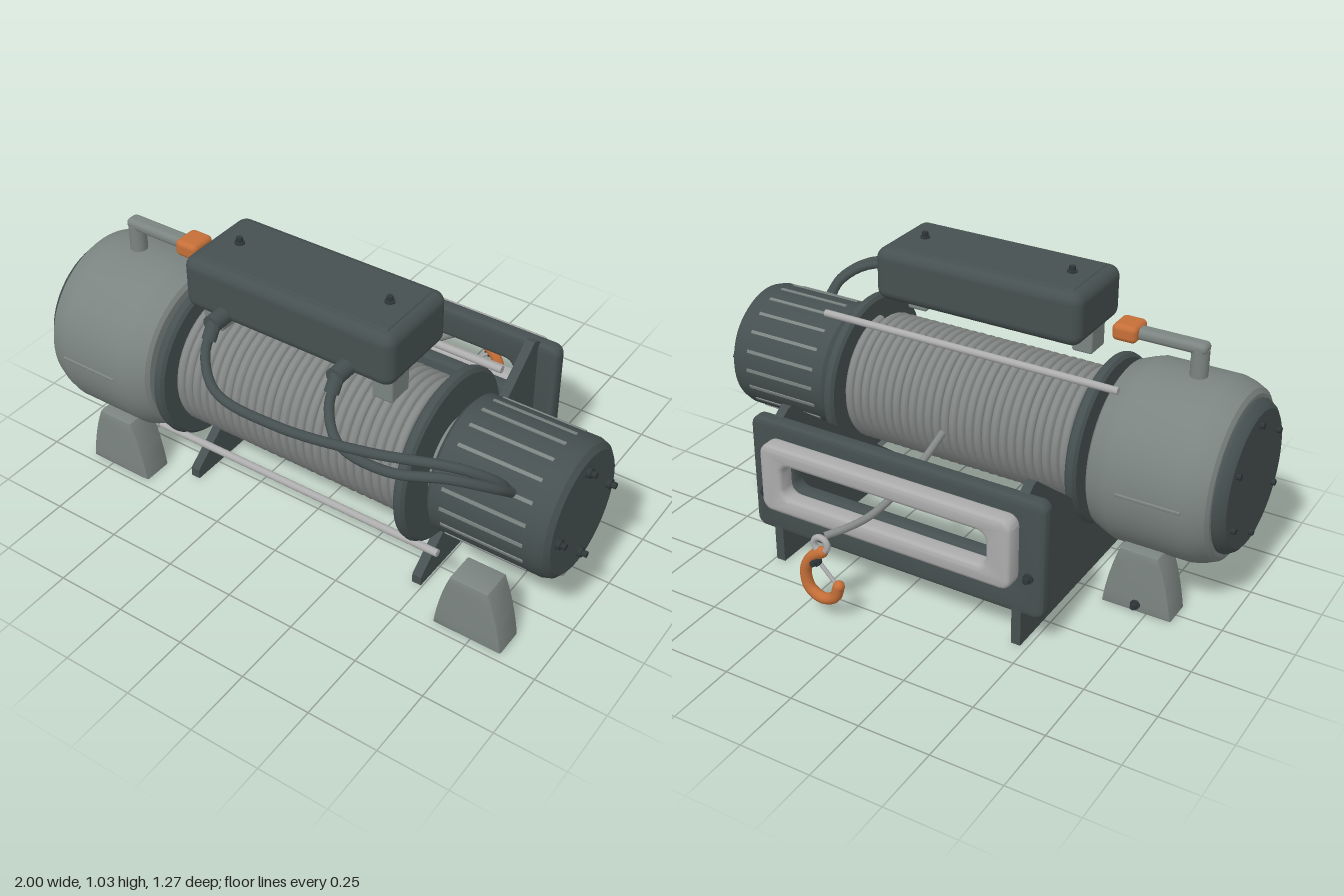
import * as THREE from 'three';
import { toCreasedNormals } from 'three/addons/utils/BufferGeometryUtils.js';
import { RoundedBoxGeometry } from 'three/addons/geometries/RoundedBoxGeometry.js';

const AXIS_Y = 0.463, AXIS_Z = 0.21; // drum axis, parallel to x

const material = (name, color) => {
  const m = new THREE.MeshStandardMaterial({ color });
  m.name = name;
  return m;
};
const V = (p) => new THREE.Vector3(...p);

export function createModel() {
  const dark = material('dark casing', 0x465050);
  const grey = material('grey casing', 0x7b8481);
  const steel = material('light steel', 0xabacab);
  const cable = material('wire rope', 0x858987);
  const orange = material('orange', 0xc56f38);
  const black = material('bolt', 0x30383a);

  const model = new THREE.Group();
  model.name = 'winch';

  const add = (name, geo, mat, x = 0, y = 0, z = 0) => {
    const mesh = new THREE.Mesh(geo, mat);
    mesh.name = name;
    mesh.position.set(x, y, z);
    model.add(mesh);
    return mesh;
  };
  // Turned part along the drum axis; profile is [x, radius] from low to high x
  const turned = (name, profile, mat) => {
    const geo = new THREE.LatheGeometry(profile.map(([x, r]) => new THREE.Vector2(r, x)), 56);
    geo.rotateZ(-Math.PI / 2);
    return add(name, toCreasedNormals(geo, 0.5), mat, 0, AXIS_Y, AXIS_Z);
  };
  const tube = (name, points, r, mat, steps = 48) =>
    add(name, new THREE.TubeGeometry(new THREE.CatmullRomCurve3(points.map(V)), steps, r, 10), mat);
  const rod = (name, a, b, r, mat, sides = 16) => {
    const from = V(a), dir = V(b).sub(from);
    const mesh = add(name, new THREE.CylinderGeometry(r, r, dir.length(), sides), mat);
    mesh.position.copy(from).addScaledVector(dir, 0.5);
    mesh.quaternion.setFromUnitVectors(new THREE.Vector3(0, 1, 0), dir.normalize());
    return mesh;
  };
  const box = (name, x0, x1, y0, y1, z0, z1, r, mat) =>
    add(name, new RoundedBoxGeometry(x1 - x0, y1 - y0, z1 - z0, 4, r), mat,
      (x0 + x1) / 2, (y0 + y1) / 2, (z0 + z1) / 2);
  // Hex bolt standing on a surface, pointing along dir
  const bolt = (p, dir) => {
    const at = (d) => p.map((v, i) => v + dir[i] * d);
    rod('boltWasher', at(-0.01), at(0.008), 0.017, black);
    rod('boltHead', at(0), at(0.024), 0.011, black, 6);
  };

  // Gearbox with end cap
  turned('gearbox', [[-0.945, 0], [-0.945, 0.275], [-0.935, 0.292], [-0.9, 0.308], [-0.86, 0.318],
    [-0.6, 0.318], [-0.57, 0.308], [-0.525, 0.29], [-0.515, 0.275], [-0.515, 0]], grey);
  turned('gearboxCap', [[-0.985, 0], [-0.985, 0.235], [-0.975, 0.25], [-0.955, 0.262], [-0.94, 0.262], [-0.94, 0]], dark);
  for (let i = 0; i < 6; i++) {
    const a = (i + 0.5) * Math.PI / 3;
    bolt([-0.976, AXIS_Y + 0.2 * Math.sin(a), AXIS_Z + 0.2 * Math.cos(a)], [-1, 0, 0]);
  }
  for (const s of [-1, 1])
    box('gearboxRib', -0.865, -0.64, AXIS_Y - 0.006, AXIS_Y + 0.006, AXIS_Z + s * 0.316 - 0.006, AXIS_Z + s * 0.316 + 0.006, 0.004, grey);

  // Motor with lengthwise ribs
  turned('motor', [[0.545, 0], [0.545, 0.215], [0.56, 0.232], [0.93, 0.232], [0.955, 0.224],
    [0.97, 0.205], [0.97, 0]], dark);
  for (let i = 0; i < 20; i++) {
    const a = i * Math.PI / 10;
    const rib = add('motorRib', new THREE.BoxGeometry(0.29, 0.012, 0.009), grey, 0.745,
      AXIS_Y + 0.231 * Math.sin(a), AXIS_Z + 0.231 * Math.cos(a));
    rib.rotation.x = -a;
  }
  for (let i = 0; i < 4; i++) {
    const a = i * Math.PI / 2;
    bolt([0.976, AXIS_Y + 0.163 * Math.sin(a), AXIS_Z + 0.163 * Math.cos(a)], [1, 0, 0]);
  }

  // Drum, flanges and wound rope
  turned('drumCore', [[-0.46, 0], [-0.46, 0.205], [0.48, 0.205], [0.48, 0]], cable);
  turned('drumShaft', [[-0.53, 0], [-0.53, 0.15], [0.56, 0.15], [0.56, 0]], grey);
  for (const x of [-0.465, 0.487])
    turned('drumFlange', [[x - 0.021, 0], [x - 0.021, 0.285], [x - 0.012, 0.297], [x, 0.3],
      [x + 0.012, 0.297], [x + 0.021, 0.285], [x + 0.021, 0]], dark);
  class Helix extends THREE.Curve {
    getPoint(t, target = new THREE.Vector3()) {
      const a = t * 27 * Math.PI * 2;
      return target.set(-0.43 + 0.88 * t, AXIS_Y + 0.218 * Math.cos(a), AXIS_Z + 0.218 * Math.sin(a));
    }
  }
  add('woundRope', new THREE.TubeGeometry(new Helix(), 27 * 40, 0.0165, 8), cable);

  // Tie rods
  rod('upperTieRod', [-0.56, 0.738, 0.053], [0.577, 0.738, 0.053], 0.013, steel);
  rod('lowerTieRod', [-0.56, 0.225, 0.4], [0.577, 0.225, 0.4], 0.013, steel);

  // Feet
  const footShape = new THREE.Shape();
  footShape.moveTo(-0.125, 0);
  footShape.quadraticCurveTo(-0.108, 0.13, -0.068, 0.23);
  footShape.lineTo(0.068, 0.23);
  footShape.quadraticCurveTo(0.108, 0.13, 0.125, 0);
  const footGeo = toCreasedNormals(new THREE.ExtrudeGeometry(footShape, {
    depth: 0.099, bevelSize: 0.008, bevelThickness: 0.008, bevelOffset: -0.008, bevelSegments: 2, curveSegments: 8,
  }), 0.5);
  for (const x of [-0.712, 0.735])
    for (const z of [-0.052, 0.359]) {
      add('foot', footGeo, grey, x, 0, z + 0.008);
      bolt([x, 0.03, z], [0, 0, -1]);
    }

  // Triangular side brackets
  const bracketShape = new THREE.Shape([[-0.36, 0], [-0.36, 0.035], [0.325, 0.575], [0.345, 0.57], [0.41, 0.52], [0.41, 0]]
    .map(([s, y]) => new THREE.Vector2(s, y)).reverse());
  const bracketGeo = new THREE.ExtrudeGeometry(bracketShape, { depth: 0.034, bevelEnabled: false });
  bracketGeo.rotateY(Math.PI / 2);
  for (const x of [-0.475, 0.46]) add('sideBracket', bracketGeo, dark, x);

  // Back plate and rope guide, both slotted
  const roundRect = (P, x0, x1, y0, y1, r) => {
    const s = new P();
    s.absarc(x1 - r, y1 - r, r, 0, Math.PI / 2);
    s.absarc(x0 + r, y1 - r, r, Math.PI / 2, Math.PI);
    s.absarc(x0 + r, y0 + r, r, Math.PI, Math.PI * 1.5);
    s.absarc(x1 - r, y0 + r, r, Math.PI * 1.5, Math.PI * 2);
    s.closePath();
    return s;
  };
  const slotted = (name, x0, x1, y0, y1, z0, z1, r, bevel, mat) => {
    const shape = roundRect(THREE.Shape, x0, x1, y0, y1, r);
    shape.holes.push(roundRect(THREE.Path, -0.38, 0.4, 0.31, 0.435, 0.035));
    add(name, toCreasedNormals(new THREE.ExtrudeGeometry(shape, {
      depth: z1 - z0 - 2 * bevel, bevelSize: bevel, bevelThickness: bevel, bevelOffset: -bevel, bevelSegments: 4, curveSegments: 6,
    }), 0.6), mat, 0, 0, z0 + bevel);
  };
  slotted('backPlate', -0.553, 0.57, 0.12, 0.55, -0.41, -0.352, 0.035, 0.018, dark);
  slotted('ropeGuide', -0.47, 0.488, 0.245, 0.5, -0.48, -0.41, 0.04, 0.018, steel);
  for (const x of [-0.5, 0.518]) bolt([x, 0.272, -0.412], [0, 0, -1]);

  // Control box on two legs
  box('controlBox', -0.385, 0.405, 0.812, 1.003, 0.103, 0.427, 0.04, dark);
  box('controlBoxLid', -0.345, 0.37, 0.99, 1.007, 0.138, 0.392, 0.006, dark);
  for (const x of [-0.275, 0.295]) bolt([x, 1.005, 0.265], [0, 1, 0]);
  for (const x of [-0.317, 0.338]) box('controlBoxLeg', x - 0.038, x + 0.038, 0.718, 0.83, 0.272, 0.37, 0.008, grey);

  // Power cables from the box to the motor
  for (const x of [-0.225, 0.245]) {
    rod('cableSocket', [x, 0.84, 0.415], [x, 0.84, 0.488], 0.03, dark);
    rod('cableCollar', [x, 0.845, 0.468], [x, 0.792, 0.502], 0.024, dark);
  }
  tube('leftPowerCable', [[-0.225, 0.83, 0.478], [-0.22, 0.755, 0.53], [-0.14, 0.685, 0.59], [0.12, 0.685, 0.62],
    [0.43, 0.715, 0.595], [0.7, 0.722, 0.51], [0.79, 0.66, 0.435], [0.8, 0.59, 0.38]], 0.016, dark);
  tube('rightPowerCable', [[0.245, 0.83, 0.478], [0.255, 0.755, 0.53], [0.33, 0.695, 0.59], [0.52, 0.695, 0.612],
    [0.7, 0.722, 0.565], [0.8, 0.67, 0.475], [0.818, 0.595, 0.385]], 0.016, dark);

  // Clutch lever with orange grip
  rod('leverPost', [-0.765, 0.76, AXIS_Z], [-0.765, 0.875, AXIS_Z], 0.03, grey);
  box('leverArm', -0.793, -0.54, 0.86, 0.9, AXIS_Z - 0.028, AXIS_Z + 0.028, 0.018, grey);
  box('leverGrip', -0.56, -0.472, 0.852, 0.911, AXIS_Z - 0.05, AXIS_Z + 0.05, 0.018, orange);

  // Rope end, eye and hook
  tube('ropeEnd', [[0.055, 0.44, -0.015], [0.05, 0.4, -0.15], [0.045, 0.365, -0.33], [0.065, 0.34, -0.46],
    [0.105, 0.325, -0.54], [0.15, 0.31, -0.588]], 0.013, cable);
  add('hookEye', new THREE.TorusGeometry(0.026, 0.011, 10, 24), steel, 0.155, 0.285, -0.605);
  tube('hook', [[0.15, 0.258, -0.605], [0.19, 0.228, -0.605], [0.22, 0.165, -0.605], [0.205, 0.1, -0.605],
    [0.155, 0.076, -0.605], [0.107, 0.098, -0.605], [0.09, 0.145, -0.605]], 0.02, orange);
  for (const [x, y] of [[0.15, 0.258], [0.09, 0.145]])
    add('hookTip', new THREE.SphereGeometry(0.02, 12, 8), orange, x, y, -0.605);
  rod('hookLatch', [0.175, 0.225, -0.605], [0.095, 0.145, -0.605], 0.007, steel, 8);
  bolt([0.17, 0.22, -0.613], [0, 0, -1]);

  return model;
}
